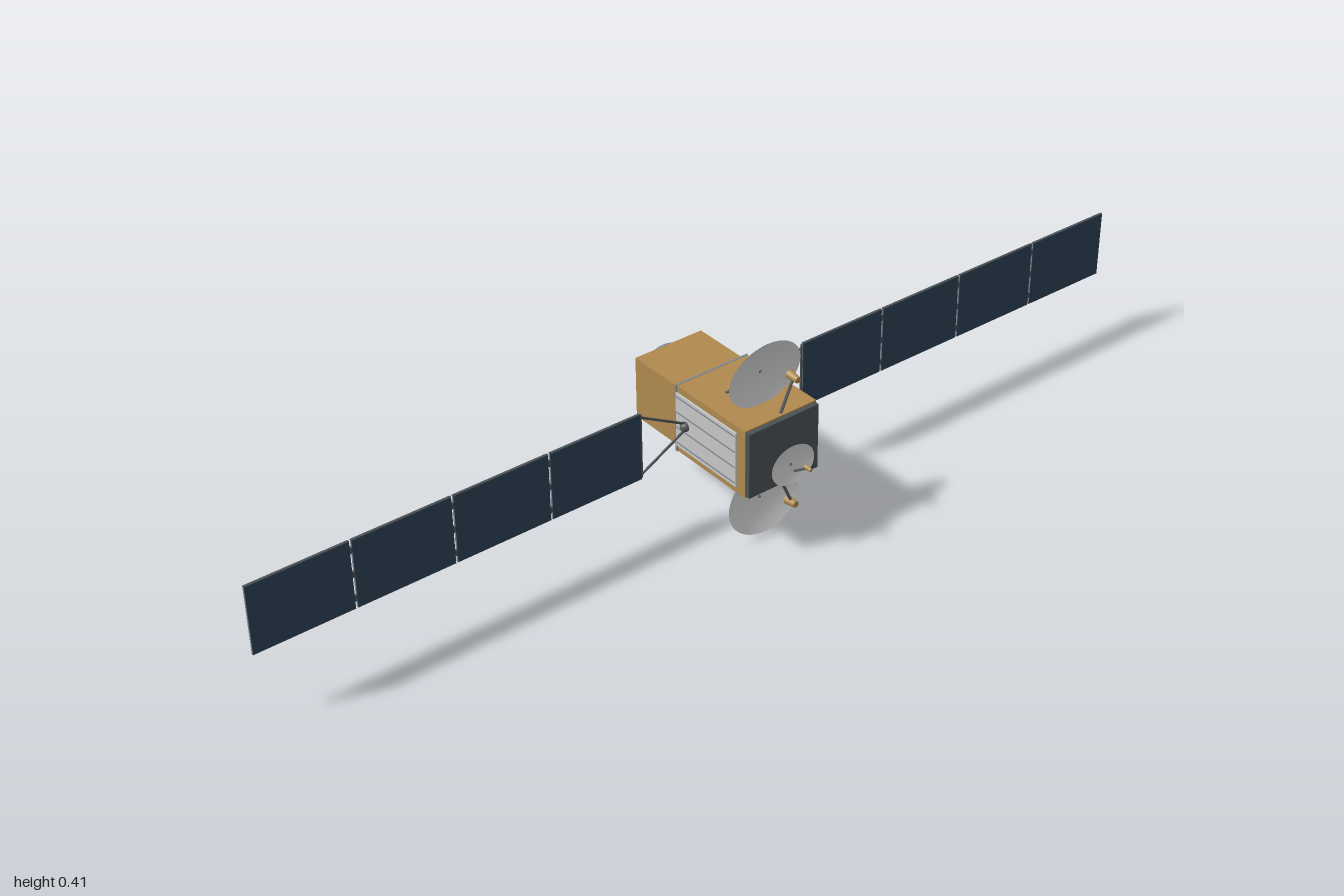
import * as THREE from 'three';

const mat = (name, color, side = THREE.FrontSide) => {
  const m = new THREE.MeshStandardMaterial({ color, side });
  m.name = name;
  return m;
};
const gold = mat('gold foil', 0xb08a4e);
const white = mat('dish white', 0xd6d6d6, THREE.DoubleSide);
const radiator = mat('radiator silver', 0xc8c8c8);
const steel = mat('steel blue grey', 0x7e8892);
const dark = mat('dark grey', 0x4a5155);
const strutGrey = mat('strut grey', 0x5c6060);
const navy = mat('solar navy', 0x2c3e54);
const backGrey = mat('panel back grey', 0x7c8488);

const MID = 0.2085; // height of the long axis

export function createModel() {
  const root = new THREE.Group();
  root.name = 'satellite';

  const add = (name, geometry, material, x, y, z, parent = root) => {
    const m = new THREE.Mesh(geometry, material);
    m.name = name;
    m.position.set(x, y, z);
    parent.add(m);
    return m;
  };
  const box = (name, w, h, d, material, x, y, z, parent) =>
    add(name, new THREE.BoxGeometry(w, h, d), material, x, y, z, parent);

  // Round bar between two points
  const rod = (name, a, b, r, material = strutGrey, parent = root) => {
    const p = new THREE.Vector3(...a), q = new THREE.Vector3(...b);
    const dir = q.clone().sub(p);
    const c = p.clone().add(q).multiplyScalar(0.5);
    const m = add(name, new THREE.CylinderGeometry(r, r, dir.length(), 8), material, c.x, c.y, c.z, parent);
    m.quaternion.setFromUnitVectors(new THREE.Vector3(0, 1, 0), dir.normalize());
  };

  // Shallow elliptical bowl opening towards +z, origin at its lowest point
  const dish = (name, halfW, halfH, depth, x, y, z, tilt) => {
    const profile = [];
    for (let i = 0; i <= 8; i++) {
      const t = i / 8;
      profile.push(new THREE.Vector2(t, t * t));
    }
    const g = new THREE.LatheGeometry(profile, 40);
    g.rotateX(Math.PI / 2);
    g.scale(halfW, halfH, depth);
    add(name, g, white, x, y, z).rotation.x = tilt;
  };

  // Feed horn, its wide mouth looking back at the dish
  const horn = (name, rWide, rNarrow, length, x, y, z, tilt) => {
    const g = new THREE.CylinderGeometry(rNarrow, rWide, length, 16);
    g.rotateX(Math.PI / 2);
    add(name, g, gold, x, y, z).rotation.x = tilt;
  };

  // Bus: main box, narrower rear box, collar and front deck
  box('mainBody', 0.166, 0.144, 0.199, gold, 0, MID, 0.0405);
  box('rearBody', 0.156, 0.13, 0.13, gold, 0, MID, -0.124);
  box('collar', 0.17, 0.145, 0.005, steel, 0, MID, -0.0585);
  box('frontDeck', 0.162, 0.138, 0.01, dark, 0, MID, 0.145);

  // Engine ring at the rear
  const ring = (name, rIn, rOut, zNear, zFar, material) => {
    const pts = [[rIn, zNear], [rOut, zNear], [rOut, zFar], [rIn, zFar], [rIn, zNear]];
    const g = new THREE.LatheGeometry(pts.map(p => new THREE.Vector2(...p)), 32).toNonIndexed();
    g.computeVertexNormals();
    g.rotateX(-Math.PI / 2);
    add(name, g, material, 0, MID, -0.188);
  };
  ring('adapterRing', 0.046, 0.056, 0, 0.018, steel);
  ring('adapterGroove', 0.039, 0.046, 0, 0.009, dark);
  ring('innerRing', 0.032, 0.039, 0, 0.014, steel);
  ring('engineCover', 0, 0.032, 0, 0.008, gold);

  // Main dishes above and below, with their struts, mast and horn
  for (const s of [1, -1]) {
    const where = s > 0 ? 'upper' : 'lower';
    const y = MID + s * 0.139;
    const deck = MID + s * 0.071;
    dish(where + 'Dish', 0.083, 0.0675, 0.013, 0, y, 0.0815, s * 0.105);
    for (const x of [-1, 1]) {
      rod(where + 'DishStrut', [x * 0.028, deck, 0.018], [0, y, 0.082], 0.0028);
    }
    rod(where + 'FeedMast', [0.006, deck, 0.132], [0.033, y - s * 0.008, 0.132], 0.003);
    horn(where + 'FeedHorn', 0.009, 0.0065, 0.025, 0.035, y - s * 0.002, 0.133, s * 0.08);
  }

  // Small front dish
  dish('frontDish', 0.05, 0.04, 0.007, 0, MID - 0.016, 0.169, -0.05);
  for (const x of [-1, 1]) {
    rod('frontDishStrut', [x * 0.016, 0.185, 0.148], [0, 0.191, 0.17], 0.0025);
  }
  rod('frontFeedMast', [0, 0.16, 0.148], [0.015, 0.188, 0.193], 0.0025);
  horn('frontFeedHorn', 0.005, 0.0035, 0.014, 0.016, 0.191, 0.2, 0.1);

  // Each side: radiator, hinge, yoke and solar wing
  const PLANE = -0.026, PITCH = 0.2025, START = 0.19, H = 0.14;
  for (const s of [1, -1]) {
    const side = new THREE.Group();
    side.name = s > 0 ? 'leftWing' : 'rightWing';
    root.add(side);

    box('radiator', 0.004, 0.116, 0.174, radiator, s * 0.085, MID, 0.031, side);
    for (let i = -1.5; i <= 1.5; i++) {
      box('heatPipe', 0.0015, 0.0022, 0.17, steel, s * 0.0875, MID + 0.001 + i * 0.0335, 0.031, side);
    }

    const hub = new THREE.SphereGeometry(0.01, 16, 12);
    add('wingHinge', hub, strutGrey, s * 0.089, MID, PLANE, side);
    for (const v of [1, -1]) {
      rod('yokeArm', [s * 0.088, MID + v * 0.006, PLANE], [s * START, MID + v * 0.062, PLANE], 0.0025, dark, side);
    }
    rod('yokeBar', [s * START, MID - 0.068, PLANE], [s * START, MID + 0.068, PLANE], 0.0022, dark, side);

    for (let i = 0; i < 4; i++) {
      const x = s * (START + PITCH * (i + 0.5));
      const w = PITCH - 0.004;
      box('panelCore', w, H, 0.004, backGrey, x, MID, PLANE, side);
      box('solarCells', w - 0.001, H - 0.001, 0.001, navy, x, MID, PLANE + 0.0025, side);
      // Dark edging top and bottom, dashed wiring on the back
      for (const v of [1, -1]) {
        box('panelEdge', w, 0.0015, 0.0052, dark, x, MID + v * H / 2, PLANE, side);
        for (let k = 0; k < 9; k++) {
          box('wiringDash', 0.012, 0.0015, 0.001, dark, x + (k - 4) * 0.0215, MID + v * 0.056, PLANE - 0.0024, side);
        }
      }
      // Hinges to the next panel
      if (i < 3) for (const v of [1, 0, -1]) {
        box('panelHinge', 0.006, 0.012, 0.005, dark, s * (START + PITCH * (i + 1)), MID + v * 0.05, PLANE, side);
      }
    }
  }
  return root;
}
